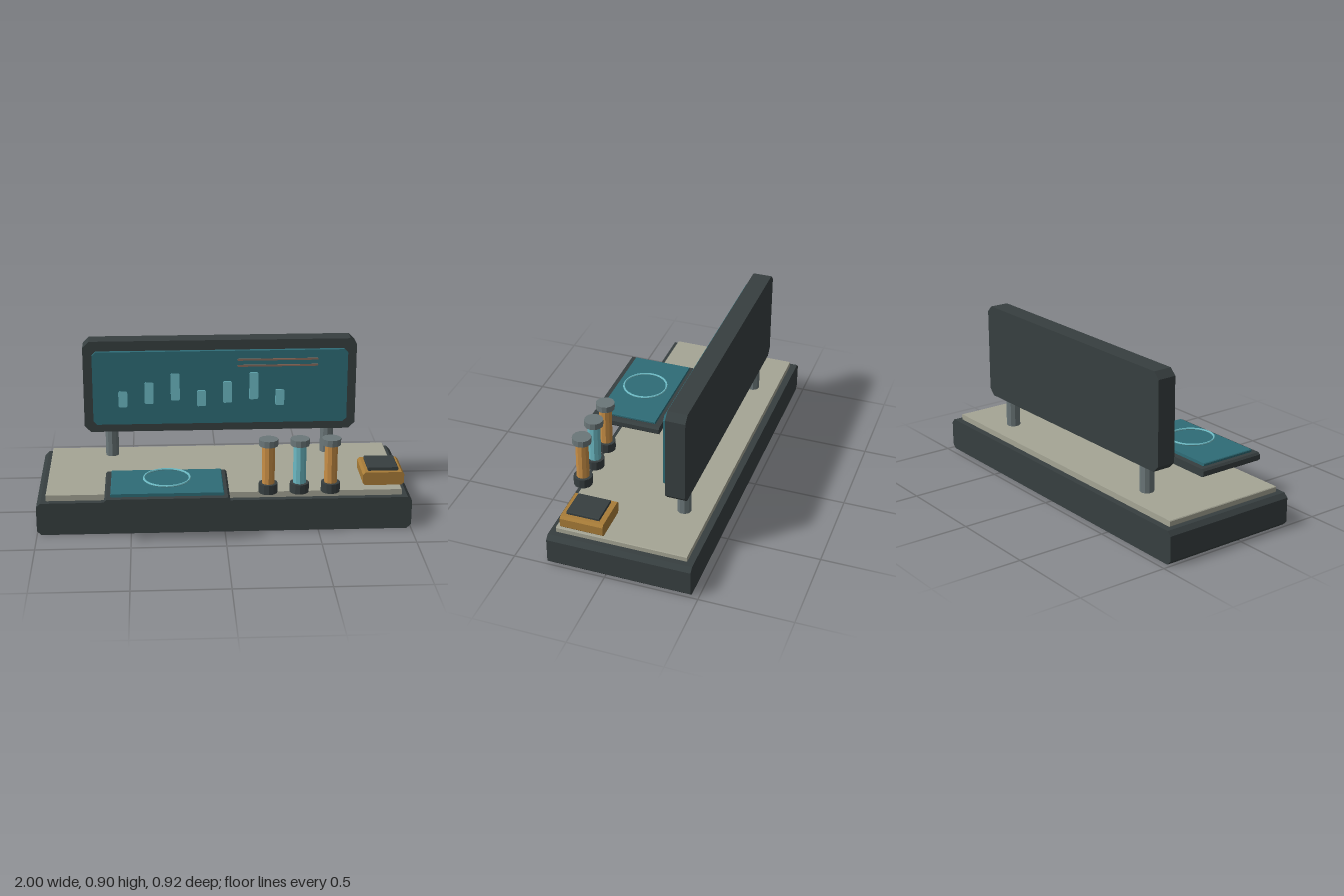
import * as THREE from 'three';

export function createModel() {
  const root = new THREE.Group();
  root.name = 'controlConsole';

  const material = (name, color) => {
    const m = new THREE.MeshStandardMaterial({ color, flatShading: true });
    m.name = name;
    return m;
  };
  const charcoal = material('charcoal', 0x373f40);
  const stone = material('stone', 0xa5a595);
  const teal = material('teal', 0x2e6c77);
  const aqua = material('aqua', 0x6cbac4);
  const steel = material('steel', 0x6b7779);
  const amber = material('amber', 0xc98f46);
  const ochre = material('ochre', 0xa87c38);
  const copper = material('copper', 0x86695a);

  const add = (name, geometry, mat, parent = root) => {
    const mesh = new THREE.Mesh(geometry, mat);
    mesh.name = name;
    parent.add(mesh);
    return mesh;
  };

  // Block whose front outline has cut corners, given by its limits
  const block = (name, mat, [x0, x1], [y0, y1], [z0, z1], c) => {
    const shape = new THREE.Shape([
      [x0 + c, y0], [x1 - c, y0], [x1, y0 + c], [x1, y1 - c],
      [x1 - c, y1], [x0 + c, y1], [x0, y1 - c], [x0, y0 + c],
    ].map(([x, y]) => new THREE.Vector2(x, y)));
    const g = new THREE.ExtrudeGeometry(shape, { depth: z1 - z0, bevelEnabled: false });
    g.translate(0, 0, z0);
    return add(name, g, mat);
  };

  // Upright faceted cylinder between two heights
  const post = (name, mat, r, y0, y1, x, z, sides, parent) => {
    const mesh = add(name, new THREE.CylinderGeometry(r, r, y1 - y0, sides), mat, parent);
    mesh.position.set(x, (y0 + y1) / 2, z);
    return mesh;
  };

  // Plinth and deck
  block('plinth', charcoal, [-1, 1], [0, 0.18], [-0.46, 0.314], 0.023);
  block('deck', stone, [-0.95, 0.95], [0.18, 0.212], [-0.424, 0.28], 0.004);

  // Display on two legs
  block('displayHousing', charcoal, [-0.757, 0.757], [0.375, 0.9], [-0.345, -0.241], 0.035);
  block('displayScreen', teal, [-0.706, 0.706], [0.427, 0.846], [-0.237, -0.213], 0.02);
  for (const side of [-1, 1]) {
    post('displayLeg', steel, 0.038, 0.222, 0.378, side * 0.607, -0.293, 10);
  }

  // Chart bars: three heights in a repeating rhythm
  for (let i = 0; i < 7; i++) {
    const x = -0.54 + i * 0.145;
    const step = i % 3;
    const h = 0.092 + step * 0.032;
    const cy = 0.576 + step * 0.034;
    block('chartBar', aqua, [x - 0.025, x + 0.025], [cy - h / 2, cy + h / 2], [-0.21, -0.204], 0.006);
  }

  // Thin readout lines
  for (const y of [0.761, 0.796]) {
    block('readoutLine', copper, [0.095, 0.54], [y - 0.005, y + 0.005], [-0.209, -0.203], 0.002);
  }

  // Tablet with a ring hovering above its surface
  block('tabletBase', charcoal, [-0.635, 0.02], [0.209, 0.256], [0.06, 0.458], 0.011);
  block('tabletSurface', teal, [-0.603, -0.01], [0.256, 0.273], [0.092, 0.425], 0.004);
  const ring = add('tabletRing', new THREE.TorusGeometry(0.122, 0.006, 6, 32), aqua);
  ring.rotation.x = Math.PI / 2;
  ring.position.set(-0.306, 0.294, 0.258);

  // Three capped vials
  [amber, aqua, amber].forEach((liquid, i) => {
    const vial = new THREE.Group();
    vial.name = 'vial';
    vial.position.set(0.23 + i * 0.166, 0, 0.287);
    root.add(vial);
    post('vialFoot', charcoal, 0.051, 0.215, 0.267, 0, 0, 12, vial);
    post('vialBody', liquid, 0.035, 0.267, 0.479, 0, 0, 10, vial);
    post('vialCap', steel, 0.051, 0.479, 0.514, 0, 0, 12, vial);
  });

  // Push-button box
  block('buttonBox', ochre, [0.741, 0.963], [0.226, 0.298], [0.018, 0.25], 0.013);
  block('buttonTop', charcoal, [0.77, 0.934], [0.298, 0.316], [0.047, 0.224], 0.004);

  return root;
}
